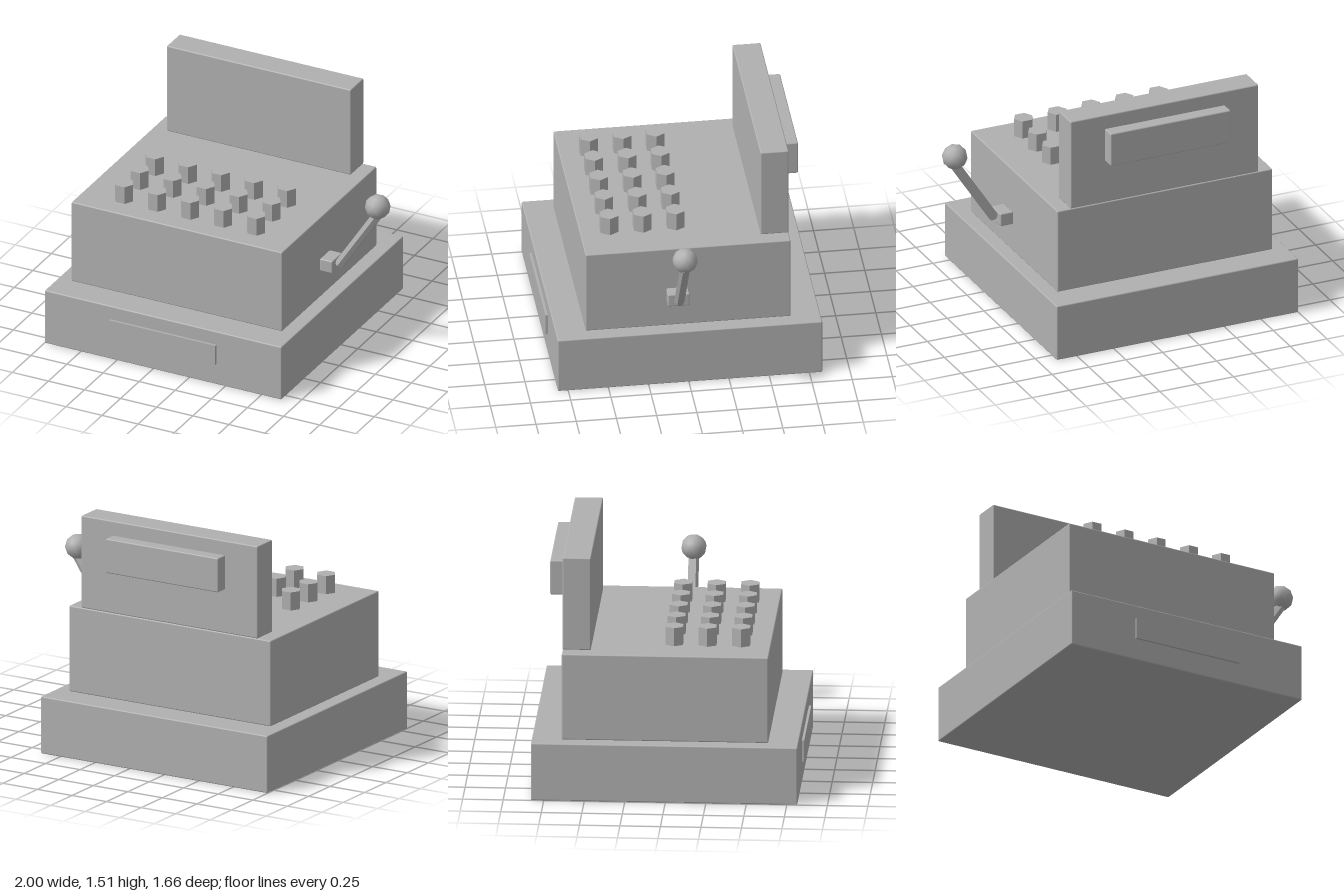
import * as THREE from 'three';
import { RoundedBoxGeometry } from 'three/addons/geometries/RoundedBoxGeometry.js';

const smooth = new THREE.MeshStandardMaterial({ color: 0xb0b0b0 });
smooth.name = 'grey';

export function createModel() {
  const model = new THREE.Group();
  model.name = 'cashRegister';

  const add = (name, geometry, x, y, z, parent = model) => {
    const mesh = new THREE.Mesh(geometry, smooth);
    mesh.name = name;
    mesh.position.set(x, y, z);
    parent.add(mesh);
    return mesh;
  };

  // Box with softened edges, given by its limits on each axis
  const block = (name, [x0, x1], [y0, y1], [z0, z1], parent) =>
    add(name, new RoundedBoxGeometry(x1 - x0, y1 - y0, z1 - z0, 2, 0.008),
      (x0 + x1) / 2, (y0 + y1) / 2, (z0 + z1) / 2, parent);

  // Cabinet
  block('drawerBase', [-1, 0.64], [0, 0.367], [-0.83, 0.815]);
  block('body', [-0.91, 0.55], [0.367, 0.917], [-0.645, 0.63]);
  block('displayPanel', [-0.815, 0.46], [0.917, 1.51], [-0.645, -0.47]);
  block('rearDisplay', [-0.585, 0.23], [1.2, 1.42], [-0.735, -0.647]);
  add('drawerPlate', new THREE.BoxGeometry(0.735, 0.135, 0.03), -0.178, 0.208, 0.815);

  // Keys: three rows of five hexagonal posts
  const keys = new THREE.Group();
  keys.name = 'keys';
  model.add(keys);
  const keyGeometry = new THREE.CylinderGeometry(0.063, 0.063, 0.13, 6)
    .rotateY(Math.PI / 2).toNonIndexed();
  keyGeometry.computeVertexNormals();
  for (const z of [0.035, 0.241, 0.448]) {
    for (let i = 0; i < 5; i++) {
      add('key', keyGeometry, -0.638 + i * 0.2285, 0.968, z, keys);
    }
  }

  // Crank on the side: mount, slanted rod and knob
  const lever = new THREE.Group();
  lever.name = 'lever';
  model.add(lever);
  block('leverMount', [0.553, 0.64], [0.555, 0.64], [-0.005, 0.13], lever);
  const start = new THREE.Vector3(0.655, 0.597, 0.062);
  const end = new THREE.Vector3(0.918, 1.0, 0.062);
  const along = end.clone().sub(start);
  const rodGeometry = new THREE.CylinderGeometry(0.033, 0.033, along.length(), 6).toNonIndexed();
  rodGeometry.computeVertexNormals();
  const middle = start.clone().add(end).multiplyScalar(0.5);
  const rod = add('leverRod', rodGeometry, middle.x, middle.y, middle.z, lever);
  rod.quaternion.setFromUnitVectors(new THREE.Vector3(0, 1, 0), along.normalize());
  const knob = new THREE.IcosahedronGeometry(0.08, 1)
    .rotateX(-Math.atan((1 + Math.sqrt(5)) / 2));
  add('leverKnob', knob, 0.92, 1.06, 0.062, lever);

  return model;
}
